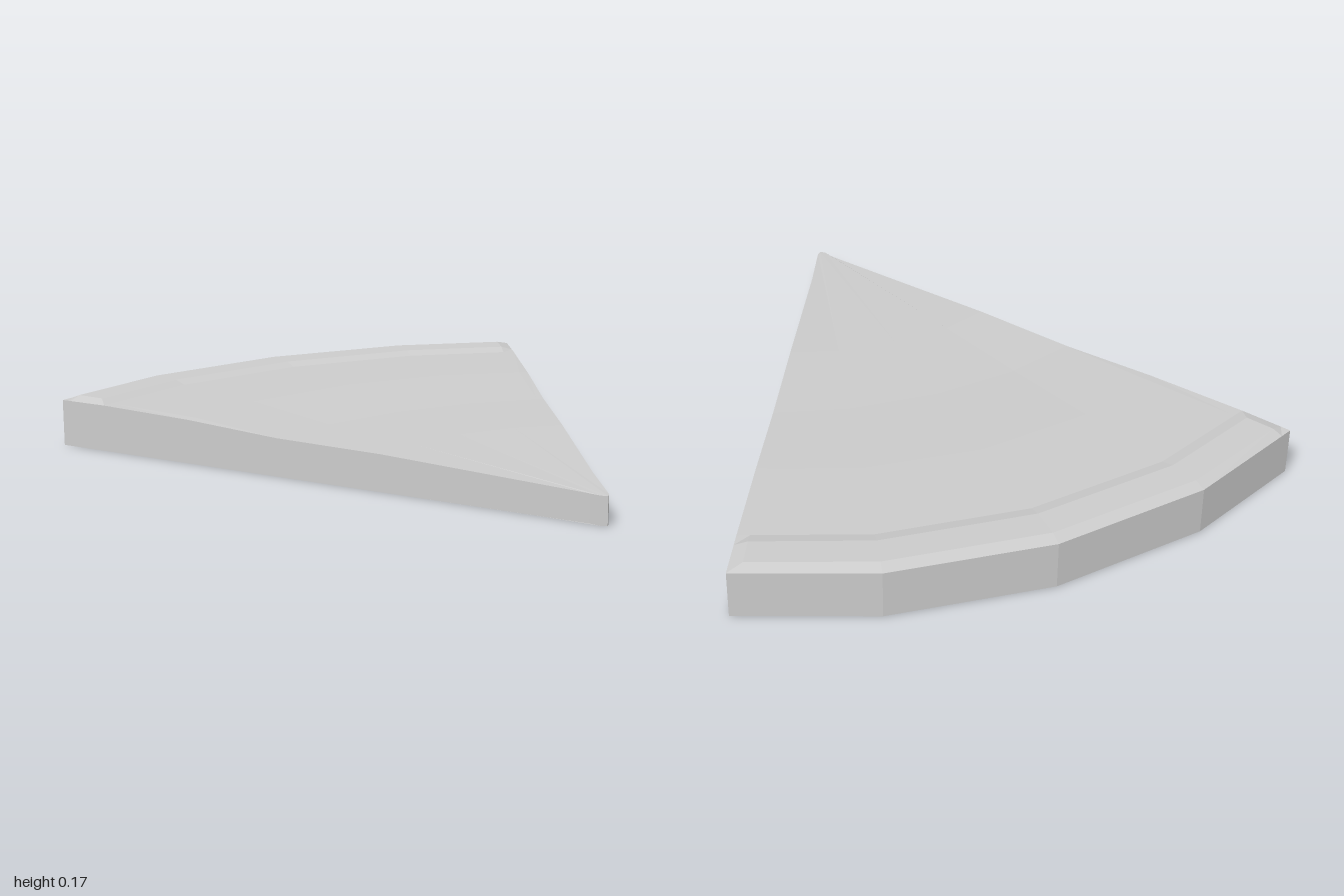
import * as THREE from 'three';

// Rows from the tip to the outer rim: [centre z, side z, surface height, side-edge height]
const ROWS = [
  [1.0, 0.95, 0.09, 0.09],
  [0.25, 0.33, 0.12, 0.12],
  [-0.1, 0.0, 0.125, 0.125],
  [-0.475, -0.3, 0.147, 0.145],
  [-0.815, -0.605, 0.155, 0.155],
  [-0.86, -0.645, 0.167, 0.155],
  [-0.96, -0.73, 0.168, 0.155],
  [-1.0, -0.76, 0.155, 0.155],
];

// Seven points across a row: edge, inset, middle, centre, and their mirror
function crossSection([cz, ez, y, edgeY]) {
  const ex = (1 - ez) * 0.5227;
  const edge = new THREE.Vector3(ex, edgeY, ez);
  const mid = new THREE.Vector3(ex * 0.56, y, cz + (ez - cz) * 0.29);
  const inset = edge.clone().lerp(mid, 0.1).setY(y);
  const half = [edge, inset, mid];
  const mirrored = half.map((p) => new THREE.Vector3(-p.x, p.y, p.z));
  return [...mirrored, new THREE.Vector3(0, y, cz), ...half.reverse()];
}

function sliceGeometry() {
  const grid = ROWS.map(crossSection);
  const lastRow = grid.length - 1;
  const lastCol = grid[0].length - 1;
  const ground = (p) => new THREE.Vector3(p.x, 0, p.z);
  const positions = [];
  const quad = (a, b, c, d) => {
    for (const p of [a, b, c, a, c, d]) positions.push(p.x, p.y, p.z);
  };

  // Top surface and flat underside
  for (let r = 0; r < lastRow; r++) {
    for (let c = 0; c < lastCol; c++) {
      const corners = [grid[r][c], grid[r][c + 1], grid[r + 1][c + 1], grid[r + 1][c]];
      quad(...corners);
      quad(...corners.map(ground).reverse());
    }
  }

  // Upright walls around the outline
  const outline = [
    ...grid[0],
    ...grid.slice(1).map((row) => row[lastCol]),
    ...grid[lastRow].slice(0, -1).reverse(),
    ...grid.slice(1, -1).map((row) => row[0]).reverse(),
  ];
  outline.forEach((a, i) => {
    const b = outline[(i + 1) % outline.length];
    quad(ground(a), ground(b), b, a);
  });

  const geometry = new THREE.BufferGeometry();
  geometry.setAttribute('position', new THREE.Float32BufferAttribute(positions, 3));
  geometry.computeVertexNormals();
  return geometry;
}

export function createModel() {
  const group = new THREE.Group();
  group.name = 'pizzaSlice';
  const material = new THREE.MeshStandardMaterial({ color: 0xcccccc, flatShading: true });
  const slice = new THREE.Mesh(sliceGeometry(), material);
  slice.name = 'sliceWithCrust';
  group.add(slice);
  return group;
}
